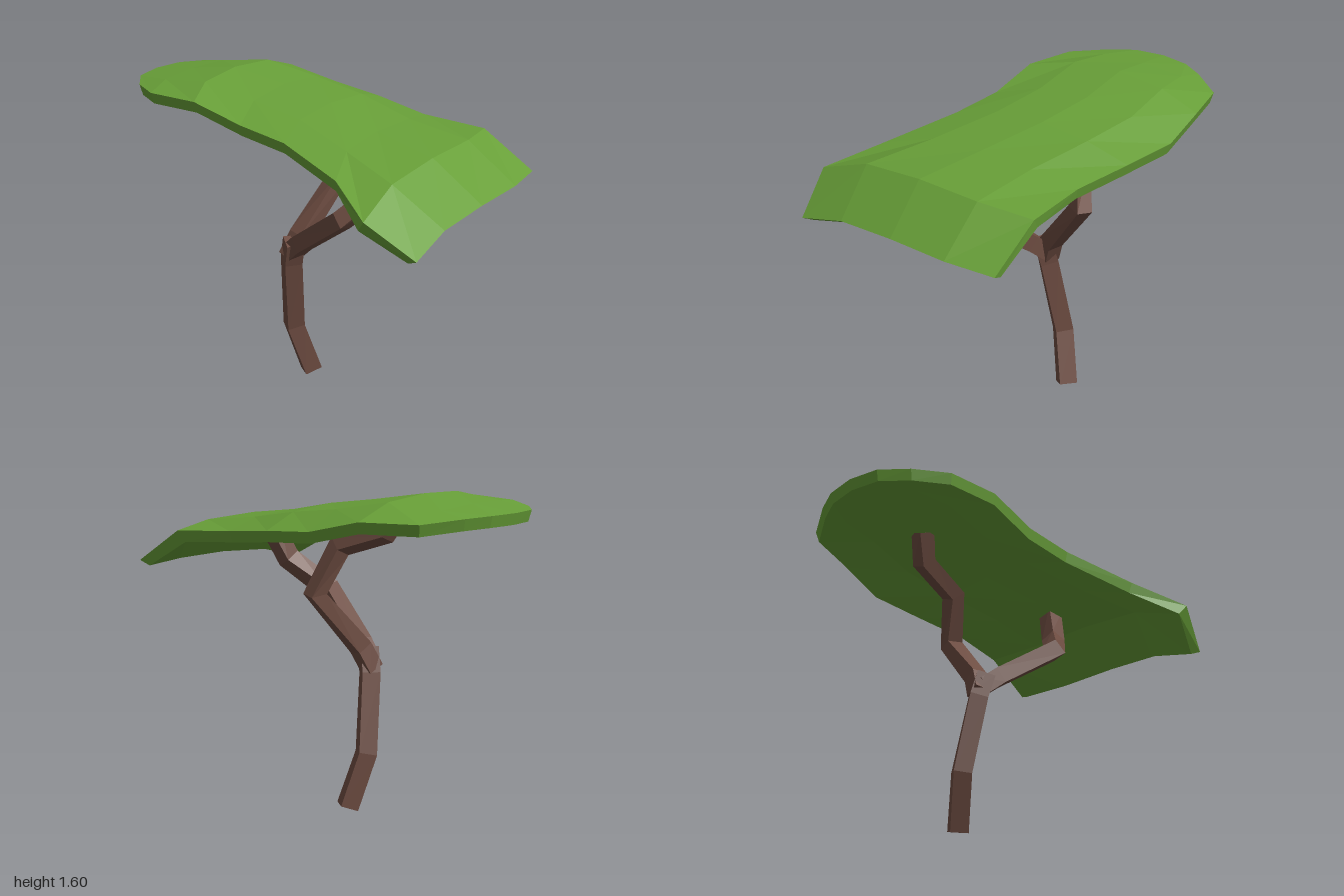
import * as THREE from 'three';

const bark = new THREE.MeshStandardMaterial({ color: 0x6d4c41, flatShading: true });
const leaf = new THREE.MeshStandardMaterial({ color: 0x689f38, flatShading: true });

function makeMesh(name, positions, index, material) {
  const geometry = new THREE.BufferGeometry();
  geometry.setAttribute('position', new THREE.Float32BufferAttribute(positions, 3));
  geometry.setIndex(index);
  const flat = geometry.toNonIndexed();
  flat.computeVertexNormals();
  const mesh = new THREE.Mesh(flat, material);
  mesh.name = name;
  return mesh;
}

// Four-sided limb swept along a bent path, mitred at the joints
function limb(name, path, radius, turn) {
  const pts = path.map((p) => new THREE.Vector3(...p));
  const positions = [], index = [];
  const last = pts.length - 1;
  pts.forEach((p, i) => {
    const before = p.clone().sub(pts[Math.max(i - 1, 0)]).normalize();
    const after = pts[Math.min(i + 1, last)].clone().sub(p).normalize();
    const t = before.add(after).normalize();
    const u = new THREE.Vector3(1, 0, 0).addScaledVector(t, -t.x).normalize();
    const v = new THREE.Vector3().crossVectors(t, u);
    for (let k = 0; k < 4; k++) {
      const a = turn + k * Math.PI / 2;
      const q = p.clone().addScaledVector(u, radius * Math.cos(a)).addScaledVector(v, radius * Math.sin(a));
      positions.push(q.x, q.y, q.z);
      if (i < last) {
        const a0 = i * 4 + k, b0 = i * 4 + (k + 1) % 4;
        index.push(a0, b0, b0 + 4, a0, b0 + 4, a0 + 4);
      }
    }
  });
  const e = last * 4;
  index.push(0, 2, 1, 0, 3, 2, e, e + 1, e + 2, e, e + 2, e + 3);
  return makeMesh(name, positions, index, bark);
}

// Curved leafy slab: cross-sections from front to back
function canopy() {
  // right edge x, z, y | middle z, y | left edge x, z, y
  const rows = [
    [-0.54, 1.00, 1.14, 0.97, 1.22, 0.62, 0.90, 1.21],
    [-0.63, 0.78, 1.30, 0.73, 1.415, 0.60, 0.63, 1.38],
    [-0.48, 0.52, 1.39, 0.38, 1.46, 0.56, 0.30, 1.40],
    [-0.37, 0.14, 1.46, 0.05, 1.52, 0.60, 0.00, 1.43],
    [-0.36, -0.13, 1.49, -0.25, 1.56, 0.62, -0.29, 1.45],
    [-0.38, -0.40, 1.56, -0.54, 1.605, 0.57, -0.55, 1.51],
    [-0.37, -0.69, 1.55, -0.78, 1.57, 0.47, -0.82, 1.51],
    [-0.27, -0.86, 1.54, -1.00, 1.54, 0.29, -0.93, 1.53],
  ];
  const steps = [0, 0.22, 0.5, 0.78, 1];
  const R = rows.length, C = steps.length, N = R * C;
  const top = [], under = [], index = [];
  rows.forEach(([xl, zl, yl, zm, ym, xr, zr, yr], i) => {
    // the underside is set back where the front droops
    const drop = i === 0 ? 0.025 : 0.055;
    const back = i === 0 ? 0.04 : i === 1 ? 0.03 : 0;
    for (const t of steps) {
      const w = 1 - Math.pow(Math.abs(2 * t - 1), 2.5);
      const x = THREE.MathUtils.lerp(xl, xr, t);
      const y = THREE.MathUtils.lerp(t < 0.5 ? yl : yr, ym, w);
      const z = THREE.MathUtils.lerp(t < 0.5 ? zl : zr, zm, w);
      top.push(x, y, z);
      under.push(0.05 * 0.03 + x * 0.97, y - drop, z * 0.985 - back);
    }
  });
  for (let i = 0; i < R - 1; i++) {
    for (let j = 0; j < C - 1; j++) {
      const a = i * C + j, b = a + 1, d = a + C, c = d + 1;
      index.push(a, b, c, a, c, d);
      index.push(N + a, N + c, N + b, N + a, N + d, N + c);
    }
  }
  // rim between the upper and lower surfaces
  const rim = [];
  for (let j = 0; j < C - 1; j++) rim.push(j);
  for (let i = 0; i < R - 1; i++) rim.push(i * C + C - 1);
  for (let j = C - 1; j > 0; j--) rim.push((R - 1) * C + j);
  for (let i = R - 1; i > 0; i--) rim.push(i * C);
  rim.forEach((p, k) => {
    const q = rim[(k + 1) % rim.length];
    index.push(N + p, N + q, q, N + p, q, p);
  });
  return makeMesh('canopy', top.concat(under), index, leaf);
}

export function createModel() {
  const model = new THREE.Group();
  model.name = 'tree';
  model.add(
    limb('trunk', [[0.157, 0.02, -0.1], [0.08, 0.29, -0.155], [0.01, 0.68, -0.115], [-0.01, 0.8, -0.085]], 0.064, 0.15),
    limb('frontBranch', [[0.0, 0.74, -0.1], [-0.03, 0.81, -0.02], [-0.13, 1.04, 0.3], [0.01, 1.2, 0.45], [0.09, 1.41, 0.52]], 0.06, 0.6),
    limb('backBranch', [[0.0, 0.7, -0.12], [0.05, 0.81, -0.09], [0.3, 1.1, -0.02], [0.21, 1.33, -0.1], [0.17, 1.41, -0.35], [0.12, 1.54, -0.41]], 0.06, 0.5),
    canopy(),
  );
  return model;
}
